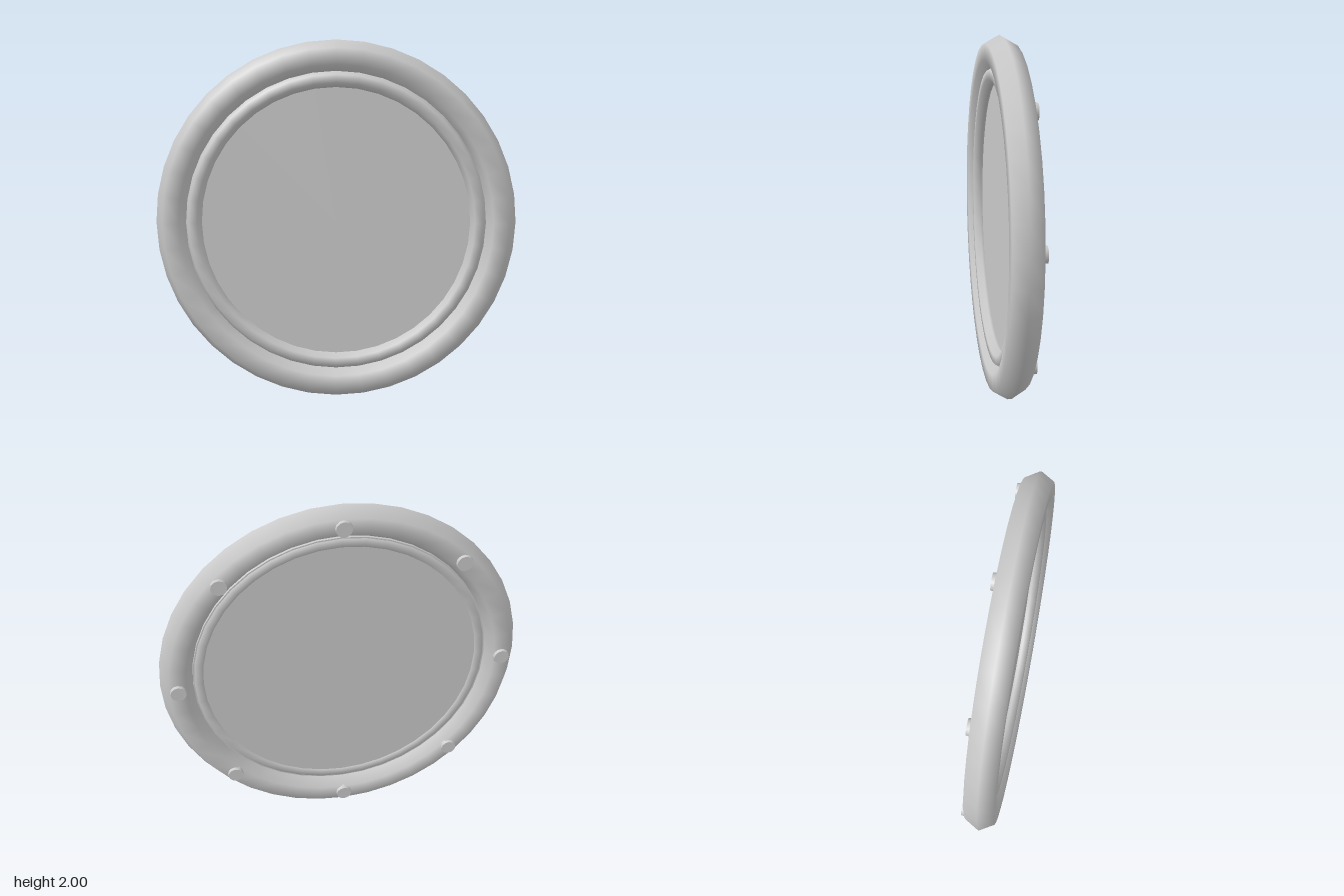
import * as THREE from 'three';

export function createModel() {
  const model = new THREE.Group();
  const material = new THREE.MeshStandardMaterial({ color: 0xcccccc });
  const add = (name, geometry, x, y, z) => {
    const mesh = new THREE.Mesh(geometry, material);
    mesh.name = name;
    mesh.position.set(x, y, z);
    model.add(mesh);
  };
  const centreY = 1, ringZ = 0.009, studRadius = 0.905;

  // Six-sided outer rim and the thinner trim inside it
  add('outerRim', new THREE.TorusGeometry(0.91, 0.09, 6, 40), 0, centreY, ringZ);
  add('innerTrim', new THREE.TorusGeometry(0.79, 0.045, 6, 40), 0, centreY, ringZ + 0.015);

  // Flat disc closing the opening
  const disc = new THREE.CylinderGeometry(0.822, 0.822, 0.02, 40).rotateX(Math.PI / 2);
  add('panel', disc, 0, centreY, ringZ - 0.01);

  // Eight slightly tapered studs on the back of the rim
  const stud = new THREE.CylinderGeometry(0.047, 0.043, 0.03, 12).rotateX(Math.PI / 2);
  for (let i = 0; i < 8; i++) {
    const a = (i * Math.PI) / 4;
    add('stud', stud, studRadius * Math.cos(a), centreY + studRadius * Math.sin(a), -0.072);
  }
  return model;
}
